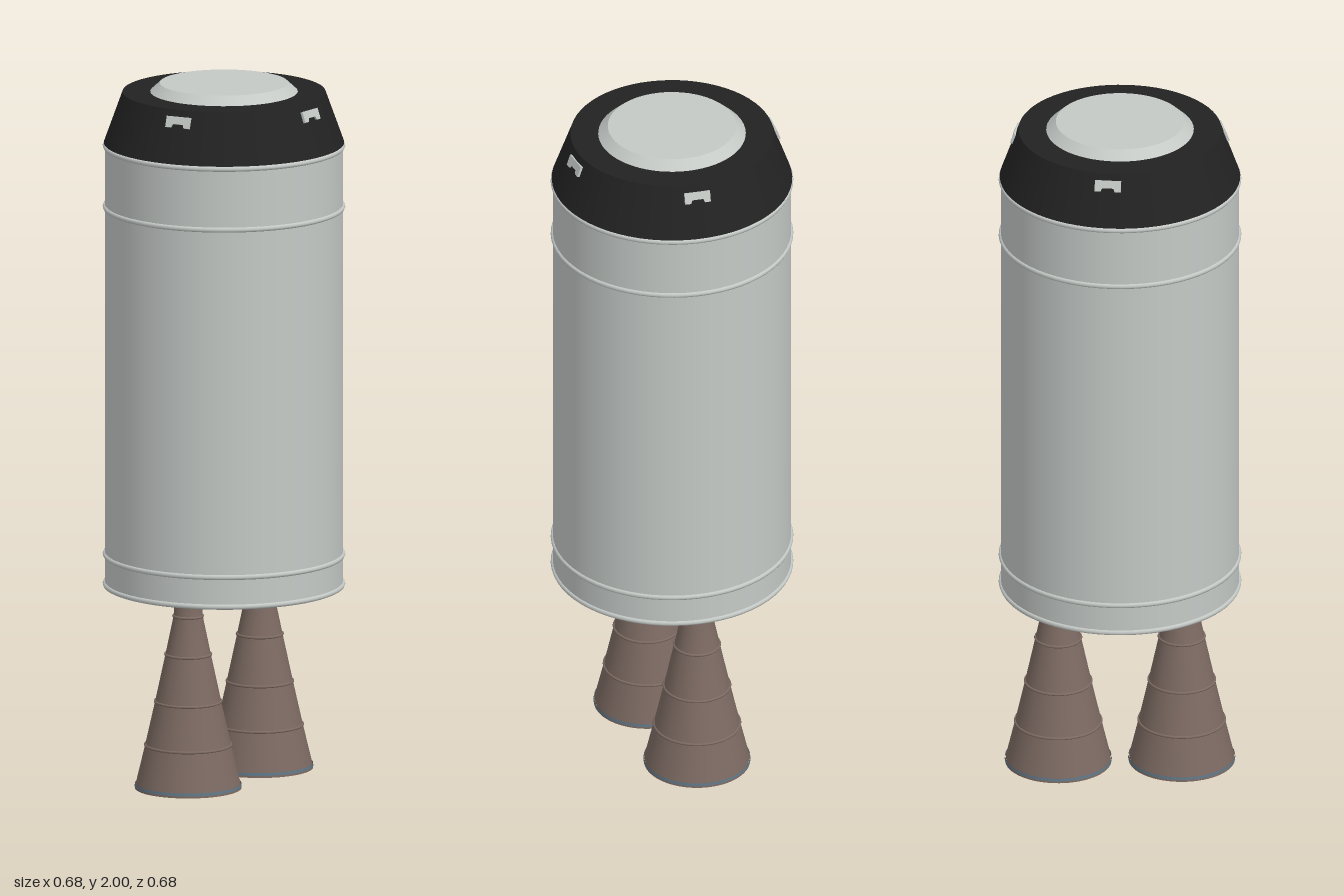
import * as THREE from 'three';

const SEG = 64;
const mat = (name, color, side = THREE.FrontSide) => {
  const m = new THREE.MeshStandardMaterial({ color, side });
  m.name = name;
  return m;
};

export function createModel() {
  const root = new THREE.Group();
  root.name = 'rocketStage';
  const hull = mat('paleGreyHull', 0xc4c9c6);
  const black = mat('blackShroud', 0x222222);
  const brown = mat('brownNozzle', 0x7c6a62, THREE.DoubleSide);
  const blue = mat('blueRim', 0x5f7686, THREE.DoubleSide);

  const add = (parent, name, geo, material) => {
    const mesh = new THREE.Mesh(geo, material);
    mesh.name = name;
    parent.add(mesh);
    return mesh;
  };
  // Frustum from height y0 (radius r0) to y1 (radius r1)
  const frustum = (parent, name, r0, y0, r1, y1, material, open = false) => {
    const m = add(parent, name, new THREE.CylinderGeometry(r1, r0, y1 - y0, SEG, 1, open), material);
    m.position.y = (y0 + y1) / 2;
    return m;
  };
  const ring = (parent, name, r, tube, y, material) => {
    const m = add(parent, name, new THREE.TorusGeometry(r, tube, 8, SEG), material);
    m.rotation.x = Math.PI / 2;
    m.position.y = y;
    return m;
  };

  // Tank body with raised bands
  frustum(root, 'tankBody', 0.336, 0.553, 0.336, 1.83, hull);
  for (const y of [0.56, 0.645, 1.645, 1.82]) ring(root, 'tankBand', 0.334, 0.008, y, hull);

  // Tapered shroud and docking cap
  frustum(root, 'shroud', 0.339, 1.828, 0.286, 1.975, black);
  frustum(root, 'topCap', 0.208, 1.975, 0.181, 2.0, hull);

  // Notched plates lying on the sloping shroud
  const notched = new THREE.Shape([
    [-0.037, 0.016], [0.037, 0.016], [0.037, -0.016], [0.02, -0.016],
    [0.016, -0.006], [-0.016, -0.006], [-0.02, -0.016], [-0.037, -0.016],
  ].map(([x, y]) => new THREE.Vector2(x, y)));
  const plateGeo = new THREE.ExtrudeGeometry(notched, { depth: 0.008, bevelEnabled: false });
  plateGeo.translate(0, 0, -0.004);
  for (const deg of [0, 80, 172, -80]) {
    const pivot = new THREE.Group();
    pivot.name = 'shroudPlate';
    pivot.rotation.y = THREE.MathUtils.degToRad(deg);
    const plate = add(pivot, 'notchedPlate', plateGeo, hull);
    plate.position.set(0, 1.941, 0.299);
    plate.rotation.x = -Math.atan2(0.053, 0.147);
    root.add(pivot);
  }

  // Pair of open engine bells with stiffening hoops
  const profile = [
    [0.148, 0.012], [0.121, 0.125], [0.093, 0.25], [0.064, 0.385], [0.041, 0.495], [0.038, 0.56],
  ].map(([r, y]) => new THREE.Vector2(r, y));
  for (const side of [-1, 1]) {
    const engine = new THREE.Group();
    engine.name = side > 0 ? 'leftEngine' : 'rightEngine';
    engine.position.x = side * 0.174;
    add(engine, 'bell', new THREE.LatheGeometry(profile, SEG), brown);
    for (const p of profile.slice(1, 5)) ring(engine, 'bellHoop', p.x, 0.004, p.y, brown);
    frustum(engine, 'bellRim', 0.15, 0, 0.149, 0.014, brown, true);
    frustum(engine, 'bellRimStripe', 0.151, 0.006, 0.15, 0.014, blue, true);
    root.add(engine);
  }
  return root;
}
